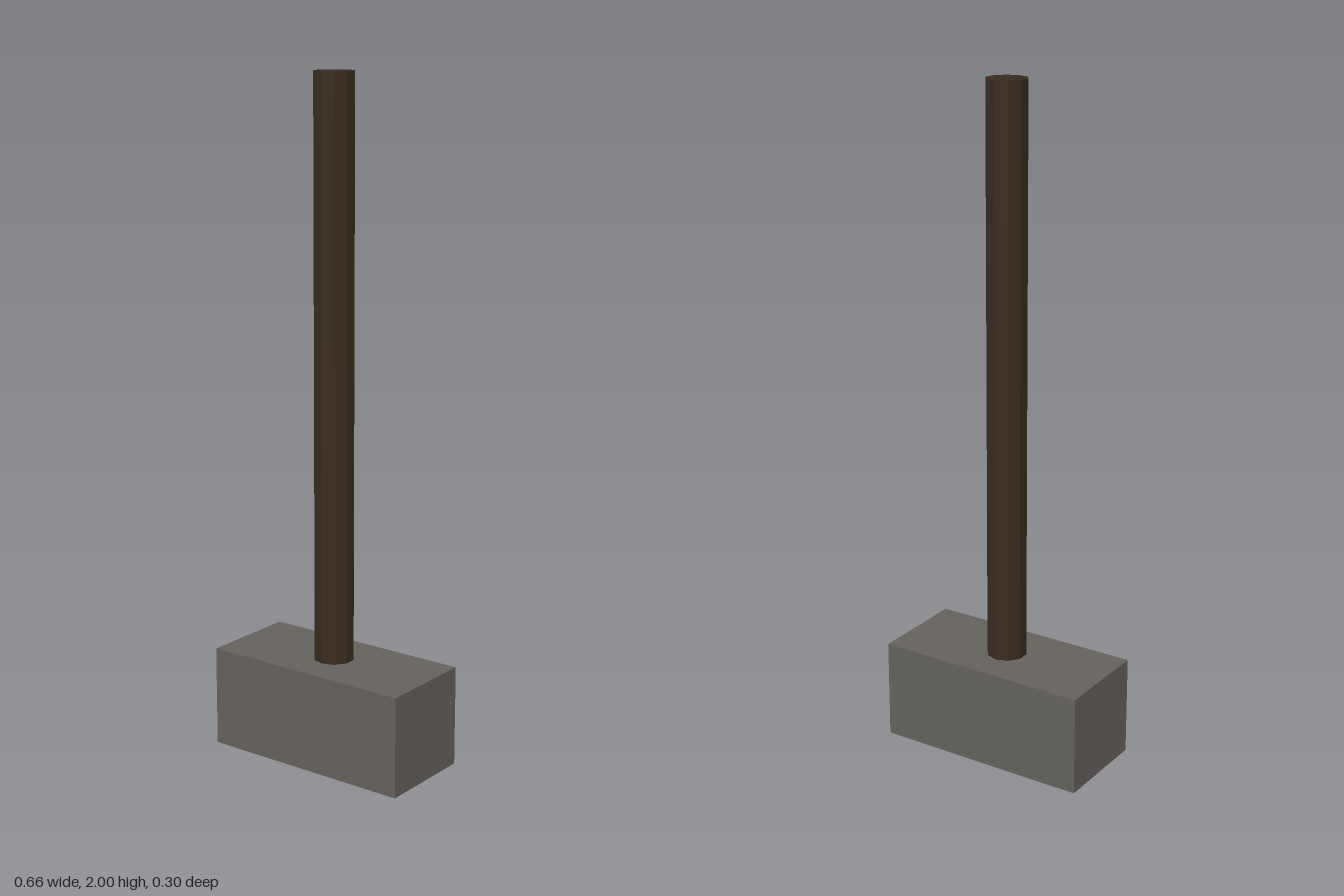
import * as THREE from 'three';

export function createModel() {
  const stone = new THREE.MeshStandardMaterial({ color: 0x65625d });
  stone.name = 'greyStone';
  const wood = new THREE.MeshStandardMaterial({ color: 0x382c20, flatShading: true });
  wood.name = 'darkWood';

  const model = new THREE.Group();
  model.name = 'sledgehammer';

  const headHeight = 0.3;
  const totalHeight = 2;

  const addPart = (name, geometry, material, y) => {
    const mesh = new THREE.Mesh(geometry, material);
    mesh.name = name;
    mesh.position.y = y;
    model.add(mesh);
  };

  // Block head resting on the ground
  addPart('head', new THREE.BoxGeometry(0.658, headHeight, 0.302), stone, headHeight / 2);

  // Ten-sided handle, sunk into the head
  const handleBase = 0.15;
  const handleLength = totalHeight - handleBase;
  addPart('handle', new THREE.CylinderGeometry(0.06, 0.06, handleLength, 10), wood, handleBase + handleLength / 2);

  return model;
}
